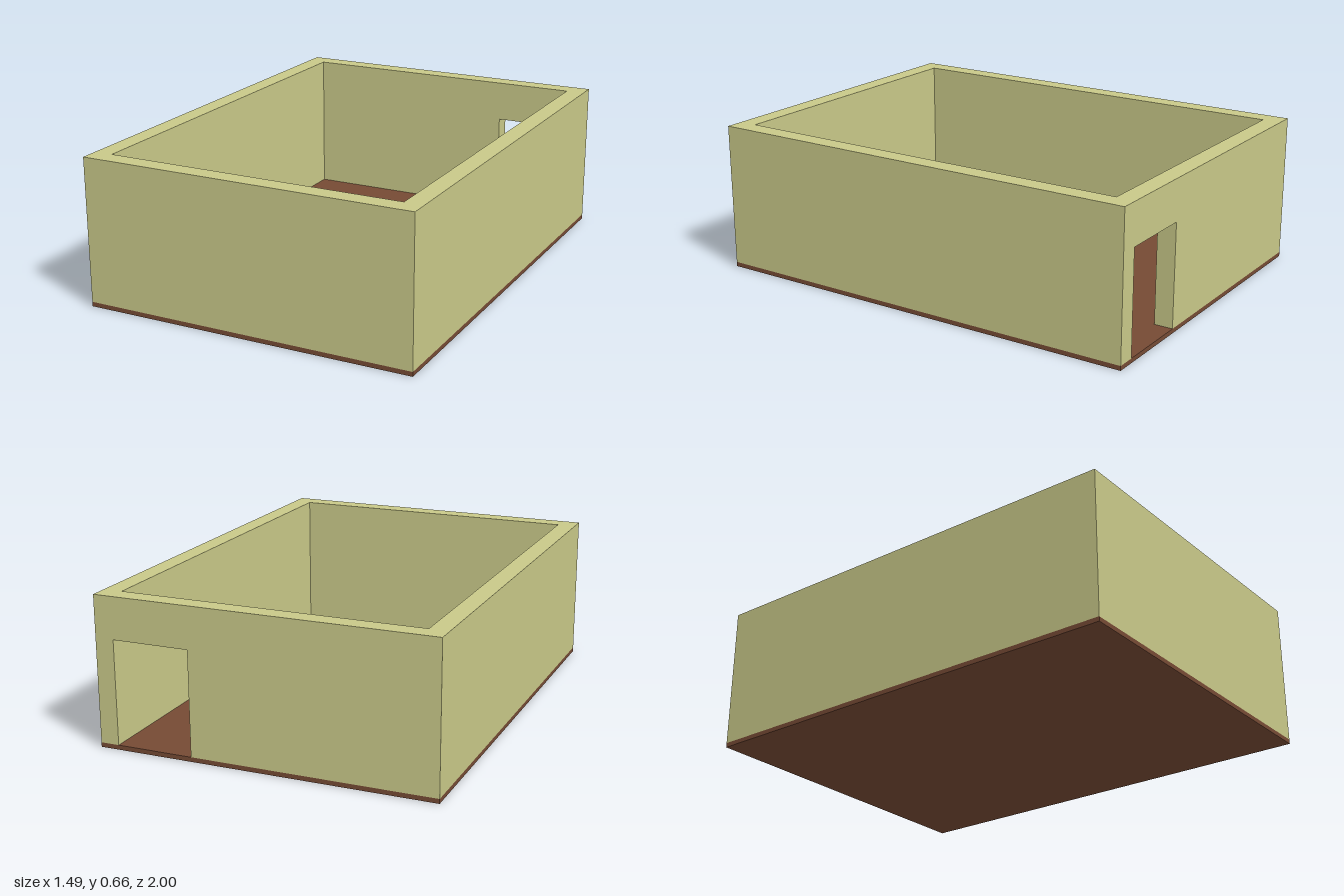
import * as THREE from 'three';

const W = 0.745, D = 1;            // half width and half depth
const T = 0.083;                   // wall thickness
const FLOOR = 0.02, TOP = 0.66;    // floor thickness, wall top
const DOOR = { left: 0.322, right: W - T, top: 0.477 };

export function createModel() {
  const wallMat = new THREE.MeshStandardMaterial({ color: 0xc8c888 });
  wallMat.name = 'pale olive plaster';
  const floorMat = new THREE.MeshStandardMaterial({ color: 0x754a34 });
  floorMat.name = 'brown floor';

  const room = new THREE.Group();
  room.name = 'room';

  const add = (name, geometry, material, x, y, z) => {
    const mesh = new THREE.Mesh(geometry, material);
    mesh.name = name;
    mesh.position.set(x, y, z);
    room.add(mesh);
  };

  // Floor slab under the whole footprint
  add('floor', new THREE.BoxGeometry(2 * W, FLOOR, 2 * D), floorMat, 0, FLOOR / 2, 0);

  // Solid front wall, and side walls fitted between front and back
  const h = TOP - FLOOR, midY = FLOOR + h / 2;
  add('frontWall', new THREE.BoxGeometry(2 * W, h, T), wallMat, 0, midY, D - T / 2);
  for (const [name, side] of [['leftWall', 1], ['rightWall', -1]]) {
    add(name, new THREE.BoxGeometry(T, h, 2 * (D - T)), wallMat, side * (W - T / 2), midY, 0);
  }

  // Back wall: outline notched by a doorway flush with the left inner wall
  const outline = new THREE.Shape([
    [-W, FLOOR], [DOOR.left, FLOOR], [DOOR.left, DOOR.top], [DOOR.right, DOOR.top],
    [DOOR.right, FLOOR], [W, FLOOR], [W, TOP], [-W, TOP],
  ].map(([x, y]) => new THREE.Vector2(x, y)));
  add('backWall', new THREE.ExtrudeGeometry(outline, { depth: T, bevelEnabled: false }), wallMat, 0, 0, -D);

  return room;
}
